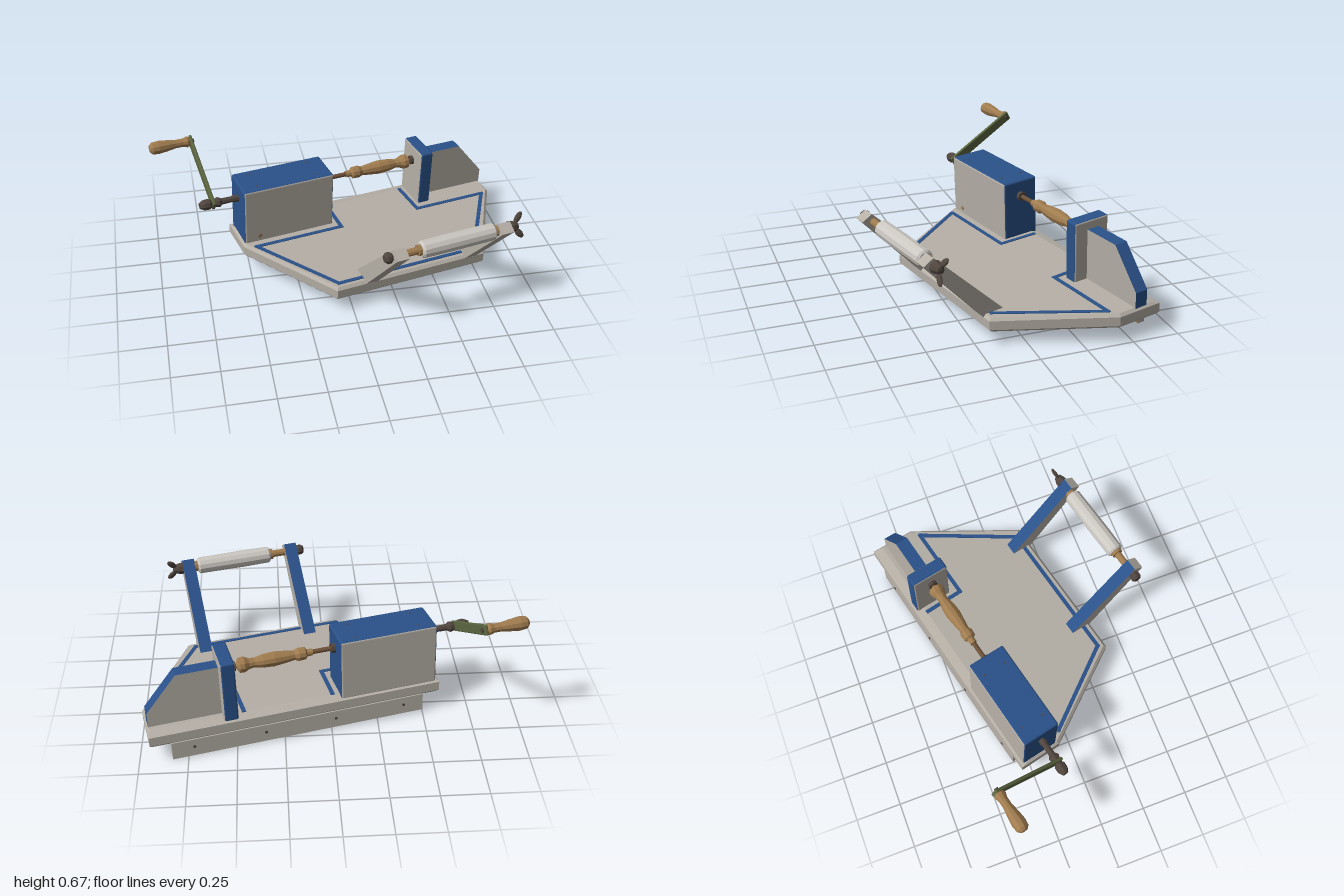
import * as THREE from 'three';
import { RoundedBoxGeometry } from 'three/addons/geometries/RoundedBoxGeometry.js';

const mat = (name, color, flatShading = false) => {
  const m = new THREE.MeshStandardMaterial({ color, flatShading });
  m.name = name;
  return m;
};

export function createModel() {
  const grey = mat('grey paint', 0xb5afa6);
  const blue = mat('blue paint', 0x2a5189);
  const wood = mat('turned wood', 0xa07c4f, true);
  const railWood = mat('rail wood', 0x98784c);
  const rodBrown = mat('brown rod', 0x6e5238);
  const dark = mat('dark metal', 0x51463f, true);
  const green = mat('green metal', 0x5c6640);
  const pale = mat('pale roller', 0xcbc7c1, true);

  const model = new THREE.Group();
  model.name = 'handCrankLathe';
  model.rotation.set(0.04, 0, -0.021);
  const body = new THREE.Group();
  body.name = 'machine';
  body.rotation.y = 0.232;
  model.add(body);

  const add = (name, geo, material, x = 0, y = 0, z = 0, parent = body) => {
    const m = new THREE.Mesh(geo, material);
    m.name = name;
    m.position.set(x, y, z);
    parent.add(m);
    return m;
  };
  // turned part along x; profile is [x, radius] pairs
  const turned = (name, material, profile, y, z, sides = 10) => {
    const geo = new THREE.LatheGeometry(profile.map(([x, r]) => new THREE.Vector2(r, x)), sides);
    return add(name, geo.rotateZ(-Math.PI / 2), material, 0, y, z);
  };
  const rod = (name, material, x0, x1, r, y, z, sides = 10) =>
    turned(name, material, [[x0, 0], [x0, r], [x1, r], [x1, 0]], y, z, sides);
  // prism from a clockwise outline, one material per outline edge
  const prism = (points, depth, materials, edgeIndex) => {
    const shape = new THREE.Shape(points.map(([x, y]) => new THREE.Vector2(x, y)));
    const geo = new THREE.ExtrudeGeometry(shape, { depth, bevelEnabled: false });
    const [caps, walls] = geo.groups;
    geo.clearGroups();
    geo.addGroup(caps.start, caps.count, 0);
    const n = points.length;
    for (let j = 0; j < n; j++) {
      geo.addGroup(walls.start + j * 6, 6, edgeIndex[(2 * n - 2 - j) % n]);
    }
    return [geo, materials];
  };

  // base board with a chamfered rear top edge
  const outline = [[-0.503, -0.44], [1.066, -0.44], [1.062, -0.19], [0.718, 0.353],
    [-0.175, 0.353], [-0.5, -0.2]];
  const boardGeo = new THREE.ExtrudeGeometry(
    new THREE.Shape(outline.map(([x, z]) => new THREE.Vector2(x, -z))),
    { depth: 0.05, bevelSize: 0.014, bevelThickness: 0.015, bevelOffset: -0.014, bevelSegments: 1 });
  boardGeo.rotateX(-Math.PI / 2);
  const p = boardGeo.attributes.position;
  for (let i = 0; i < p.count; i++) {
    if (p.getY(i) > 0.06 && p.getZ(i) < -0.4) p.setZ(i, p.getZ(i) + 0.04);
  }
  boardGeo.computeVertexNormals();
  add('baseBoard', boardGeo, grey, 0, 0.103, 0);

  // painted stripe on the board
  const path = [[0.08, -0.38], [0.075, -0.16], [-0.44, -0.16], [-0.15, 0.31],
    [0.68, 0.31], [1.0, -0.16], [0.565, -0.16], [0.56, -0.38]];
  for (let i = 0; i < path.length - 1; i++) {
    const [x0, z0] = path[i], [x1, z1] = path[i + 1];
    const len = Math.hypot(x1 - x0, z1 - z0) + 0.02;
    const s = add('boardStripe', new THREE.BoxGeometry(len, 0.006, 0.022), blue,
      (x0 + x1) / 2, 0.168, (z0 + z1) / 2);
    s.rotation.y = -Math.atan2(z1 - z0, x1 - x0);
  }

  // clamping rail below the rear edge, with screws
  add('clampRail', new THREE.BoxGeometry(1.366, 0.1, 0.04),
    [grey, grey, grey, railWood, railWood, grey], 0.273, 0.044, -0.42);
  for (const x of [-0.3, 0.08, 0.46, 0.84]) {
    const s = add('railScrew', new THREE.CylinderGeometry(0.008, 0.008, 0.006, 10), dark, x, 0.05, -0.441);
    s.rotation.x = Math.PI / 2;
  }

  // headstock box
  add('headstockBox', new RoundedBoxGeometry(0.53, 0.35, 0.216, 2, 0.012),
    [blue, blue, blue, grey, grey, grey], -0.223, 0.325, -0.318);
  for (const x of [-0.4, -0.05]) {
    for (const z of [-0.385, -0.255]) {
      add('boxScrew', new THREE.CylinderGeometry(0.006, 0.006, 0.004, 8), dark, x, 0.5, z);
    }
  }
  const knot = add('woodSpot', new THREE.CylinderGeometry(0.012, 0.012, 0.004, 10), railWood, -0.4, 0.2, -0.21);
  knot.rotation.x = Math.PI / 2;

  // tailstock post and brace
  add('tailstockPost', new RoundedBoxGeometry(0.077, 0.35, 0.216, 2, 0.012),
    [grey, grey, blue, grey, blue, blue], 0.633, 0.325, -0.318);
  const [braceGeo, braceMats] = prism(
    [[0.66, 0.15], [0.66, 0.45], [0.89, 0.45], [1.055, 0.25], [1.055, 0.15]],
    0.072, [grey, blue], [0, 1, 1, 1, 0]);
  add('tailstockBrace', braceGeo, braceMats, 0, 0, -0.362);

  // drive shaft, collars and turned spindle
  const H = 0.41, W = -0.316;
  rod('driveShaft', rodBrown, -0.7, 0.6, 0.013, H, W);
  rod('boxCollar', dark, 0.035, 0.065, 0.026, H, W, 8);
  rod('crankCollar', dark, -0.52, -0.485, 0.02, H, W, 8);
  rod('postCollar', dark, 0.575, 0.6, 0.026, H, W, 8);
  turned('turnedSpindle', wood, [[0.165, 0], [0.165, 0.019], [0.195, 0.02], [0.205, 0.034],
    [0.24, 0.036], [0.262, 0.026], [0.3, 0.032], [0.37, 0.04], [0.43, 0.036], [0.475, 0.026],
    [0.505, 0.03], [0.53, 0.043], [0.555, 0.041], [0.565, 0.022], [0.58, 0]], H, W);

  // crank: hub, arm and handle
  turned('crankHub', dark, [[-0.71, 0], [-0.71, 0.017], [-0.685, 0.03], [-0.655, 0.03], [-0.64, 0.02],
    [-0.6, 0.03], [-0.585, 0.018], [-0.5, 0.016], [-0.5, 0]], H, W, 8);
  const tipY = 0.6, tipZ = -0.685;
  const arm = add('crankArm', new RoundedBoxGeometry(0.018, 0.055, Math.hypot(tipZ - W, tipY - H) + 0.05, 2, 0.006),
    green, -0.633, (H + tipY) / 2, (W + tipZ) / 2);
  arm.rotation.x = Math.atan2(tipY - H, W - tipZ);
  turned('crankHandle', wood, [[-0.872, 0], [-0.87, 0.02], [-0.855, 0.034], [-0.82, 0.038],
    [-0.77, 0.032], [-0.72, 0.024], [-0.68, 0.024], [-0.655, 0.032], [-0.642, 0.026], [-0.64, 0]], tipY, tipZ);
  rod('handlePin', dark, -0.65, -0.615, 0.012, tipY, tipZ, 8);

  // slanted front arms, blue on their upper faces
  const armWidth = 0.07;
  for (const x of [0.026, 0.632]) {
    const [geo, mats] = prism([[0.224, 0.155], [0.62, 0.563], [0.675, 0.53], [0.355, 0.155]],
      armWidth, [grey, blue], [1, 0, 0, 0]);
    geo.rotateY(-Math.PI / 2);
    add('rollerArm', geo, mats, x + armWidth / 2, 0, 0);
  }

  // roller with axle, end nut and wing nut
  const RY = 0.517, RZ = 0.614;
  rod('rollerAxle', wood, -0.02, 0.69, 0.02, RY, RZ);
  turned('roller', pale, [[0.152, 0], [0.152, 0.036], [0.162, 0.046], [0.3, 0.048], [0.45, 0.047],
    [0.57, 0.046], [0.58, 0.036], [0.58, 0]], RY, RZ, 12);
  for (const x of [0.135, 0.58]) rod('rollerCollar', wood, x, x + 0.02, 0.03, RY, RZ);
  turned('axleNut', dark, [[-0.05, 0], [-0.05, 0.02], [-0.038, 0.03], [-0.018, 0.03], [-0.008, 0.022],
    [-0.008, 0]], RY, RZ, 8);
  turned('wingNutHub', dark, [[0.665, 0], [0.665, 0.034], [0.69, 0.032], [0.72, 0.02], [0.725, 0]], RY, RZ, 8);
  const wings = new THREE.Group();
  wings.name = 'wingNutWings';
  wings.position.set(0.7, RY, RZ);
  wings.rotation.x = -0.35;
  body.add(wings);
  for (const s of [1, -1]) {
    const wing = add('wing', new THREE.SphereGeometry(1, 10, 8), dark, 0.028, s * 0.042, 0, wings);
    wing.scale.set(0.018, 0.036, 0.011);
    wing.rotation.z = -s * 0.7;
  }
  return model;
}
